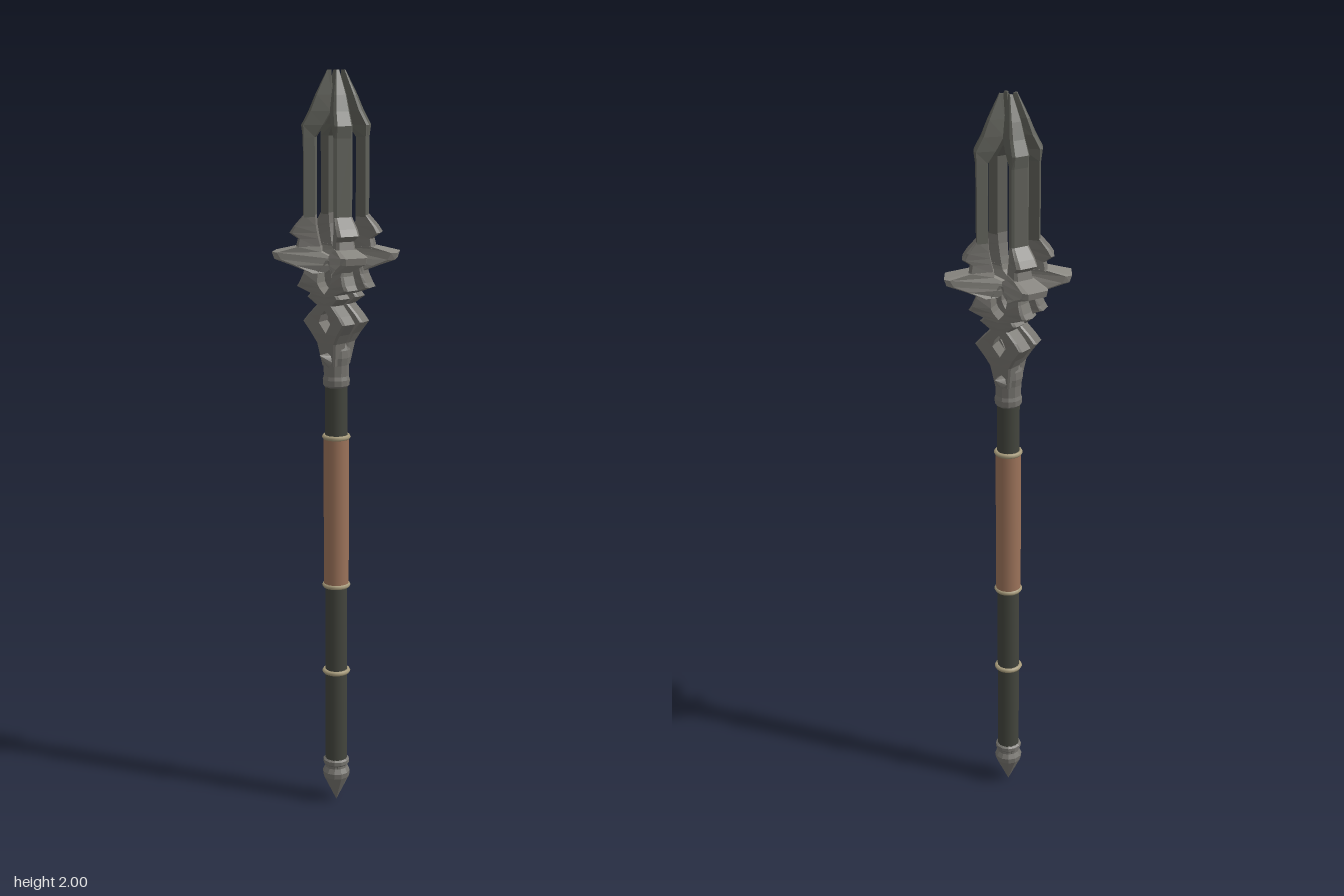
import * as THREE from 'three';

const material = (name, color) => {
  const m = new THREE.MeshStandardMaterial({ color });
  m.name = name;
  return m;
};

// Lofted blade. Each section is [y, inner radius, outer radius, sideways offset, inner width, outer width].
// The blade plane is turned by angle from +x towards +z, then mirrored by sx, sz.
function bladeGeometry(sections, angle, sx, sz) {
  const c = Math.cos(angle), n = Math.sin(angle), pos = [], index = [], N = 6;
  for (const [y, a, b, s, wi, wo] of sections) {
    const d = (b - a) * 0.12;
    const ring = [[a, -wi / 2], [b - d, -wo / 2], [b, -wo * 0.38], [b, wo * 0.38], [b - d, wo / 2], [a, wi / 2]];
    for (const [r, w] of ring) pos.push(sx * (r * c - (s + w) * n), y, sz * (r * n + (s + w) * c));
  }
  const tri = (p, q, r) => (sx * sz > 0 ? index.push(p, q, r) : index.push(p, r, q));
  for (let k = 0; k < sections.length - 1; k++) {
    for (let i = 0; i < N; i++) {
      const p = k * N + i, q = k * N + (i + 1) % N;
      tri(p, p + N, q);
      tri(q, p + N, q + N);
    }
  }
  const top = (sections.length - 1) * N;
  for (let i = 1; i < N - 1; i++) {
    tri(0, i, i + 1);
    tri(top, top + i + 1, top + i);
  }
  const g = new THREE.BufferGeometry();
  g.setAttribute('position', new THREE.Float32BufferAttribute(pos, 3));
  g.setIndex(index);
  const flat = g.toNonIndexed(); // hard facets
  flat.computeVertexNormals();
  return flat;
}

export function createModel() {
  const group = new THREE.Group();
  const brightSteel = material('worn bright steel', 0x8a8882);
  const steel = material('grey steel', 0x76746f);
  const darkSteel = material('dark steel', 0x5f6059);
  const shaftPaint = material('blackened shaft', 0x43453d);
  const leather = material('brown leather', 0x9c735a);
  const brass = material('dull brass', 0xa89c7c);

  const add = (name, geometry, mat) => {
    const m = new THREE.Mesh(geometry, mat);
    m.name = name;
    group.add(m);
    return m;
  };
  const rod = (name, y0, y1, r, mat) =>
    add(name, new THREE.CylinderGeometry(r, r, y1 - y0, 16), mat).position.set(0, (y0 + y1) / 2, 0);
  // Hard-edged turned part, one band per pair of profile points
  const turned = (name, pts, mat) => {
    const g = new THREE.LatheGeometry(pts.map(([r, y]) => new THREE.Vector2(r, y)), 12).toNonIndexed();
    g.computeVertexNormals();
    return add(name, g, mat);
  };

  // Shaft, grip and rings
  rod('lowerShaft', 0.1, 0.642, 0.03, shaftPaint);
  rod('upperShaft', 1.05, 1.22, 0.03, shaftPaint);
  rod('grip', 0.642, 1.055, 0.034, leather);
  for (const y of [0.393, 0.642, 1.055]) {
    const ring = add('shaftRing', new THREE.TorusGeometry(0.032, 0.0065, 6, 20), brass);
    ring.rotation.x = Math.PI / 2;
    ring.position.y = y;
  }

  // Pointed pommel
  turned('pommel', [[0, 0.005], [0.012, 0.03], [0.036, 0.08], [0.038, 0.095], [0.031, 0.108],
    [0.031, 0.115], [0.036, 0.12], [0.036, 0.13], [0.029, 0.135]], steel);

  // Socket below the head
  turned('socket', [[0.03, 1.19], [0.035, 1.195], [0.036, 1.21], [0.033, 1.22], [0.034, 1.25],
    [0.038, 1.27], [0.037, 1.29], [0.028, 1.315], [0, 1.328]], steel);

  // Broad fangs on the front and back of the socket
  for (const s of [1, -1]) {
    const fang = add('socketFang', new THREE.ConeGeometry(0.028, 0.065, 6), steel);
    fang.rotation.x = s * 1.2;
    fang.position.set(0, 1.272, s * 0.042);
  }

  // Barbed struts forming the open lower head
  const strut = [
    [1.25, -0.005, 0.025, 0.016, 0.03, 0.036], [1.31, 0, 0.036, 0.02, 0.042, 0.046],
    [1.335, 0.005, 0.052, 0.022, 0.046, 0.048], [1.365, 0.026, 0.075, 0.024, 0.046, 0.046],
    [1.385, 0.018, 0.058, 0.025, 0.048, 0.046], [1.41, -0.004, 0.033, 0.026, 0.048, 0.046],
    [1.43, 0, 0.06, 0.028, 0.046, 0.046], [1.44, 0.008, 0.05, 0.029, 0.044, 0.046],
    [1.455, 0.022, 0.09, 0.03, 0.042, 0.046], [1.467, 0.028, 0.082, 0.03, 0.042, 0.048],
    [1.49, 0.03, 0.072, 0.028, 0.036, 0.046], [1.508, 0.02, 0.07, 0.026, 0.03, 0.04],
    [1.525, -0.002, 0.055, 0.024, 0.024, 0.032],
  ];
  // Flared crown arm
  const crown = [
    [1.492, 0.025, 0.06, 0.016, 0.02, 0.045], [1.512, 0, 0.11, 0.016, 0.02, 0.06],
    [1.528, 0, 0.154, 0.017, 0.02, 0.07], [1.546, 0.035, 0.16, 0.018, 0.024, 0.075],
    [1.56, 0.036, 0.1, 0.016, 0.024, 0.058],
  ];
  // Stepped collar at the foot of each prong
  const collar = [
    [1.555, 0.036, 0.1, 0.016, 0.024, 0.056], [1.58, 0.042, 0.094, 0.016, 0.026, 0.05],
    [1.595, 0.045, 0.115, 0.016, 0.026, 0.062], [1.612, 0.048, 0.104, 0.016, 0.028, 0.06],
    [1.64, 0.05, 0.08, 0.016, 0.03, 0.05],
  ];
  // Tall prong closing in to the tip
  const prong = [
    [1.635, 0.05, 0.08, 0.016, 0.03, 0.05], [1.835, 0.05, 0.08, 0.016, 0.03, 0.05],
    [1.865, 0.03, 0.084, 0.016, 0.026, 0.05], [1.9, 0.01, 0.066, 0.013, 0.02, 0.044],
    [1.94, 0.008, 0.05, 0.01, 0.014, 0.034], [2, 0.012, 0.022, 0.006, 0.005, 0.009],
  ];
  for (const sx of [1, -1]) {
    for (const sz of [1, -1]) {
      add('headStrut', bladeGeometry(strut, 0.14, sx, sz), steel);
      add('crownArm', bladeGeometry(crown, 0.49, sx, sz), brightSteel);
      add('prongCollar', bladeGeometry(collar, 0.49, sx, sz), steel);
      add('prong', bladeGeometry(prong, 0.49, sx, sz), darkSteel);
    }
  }
  return group;
}
